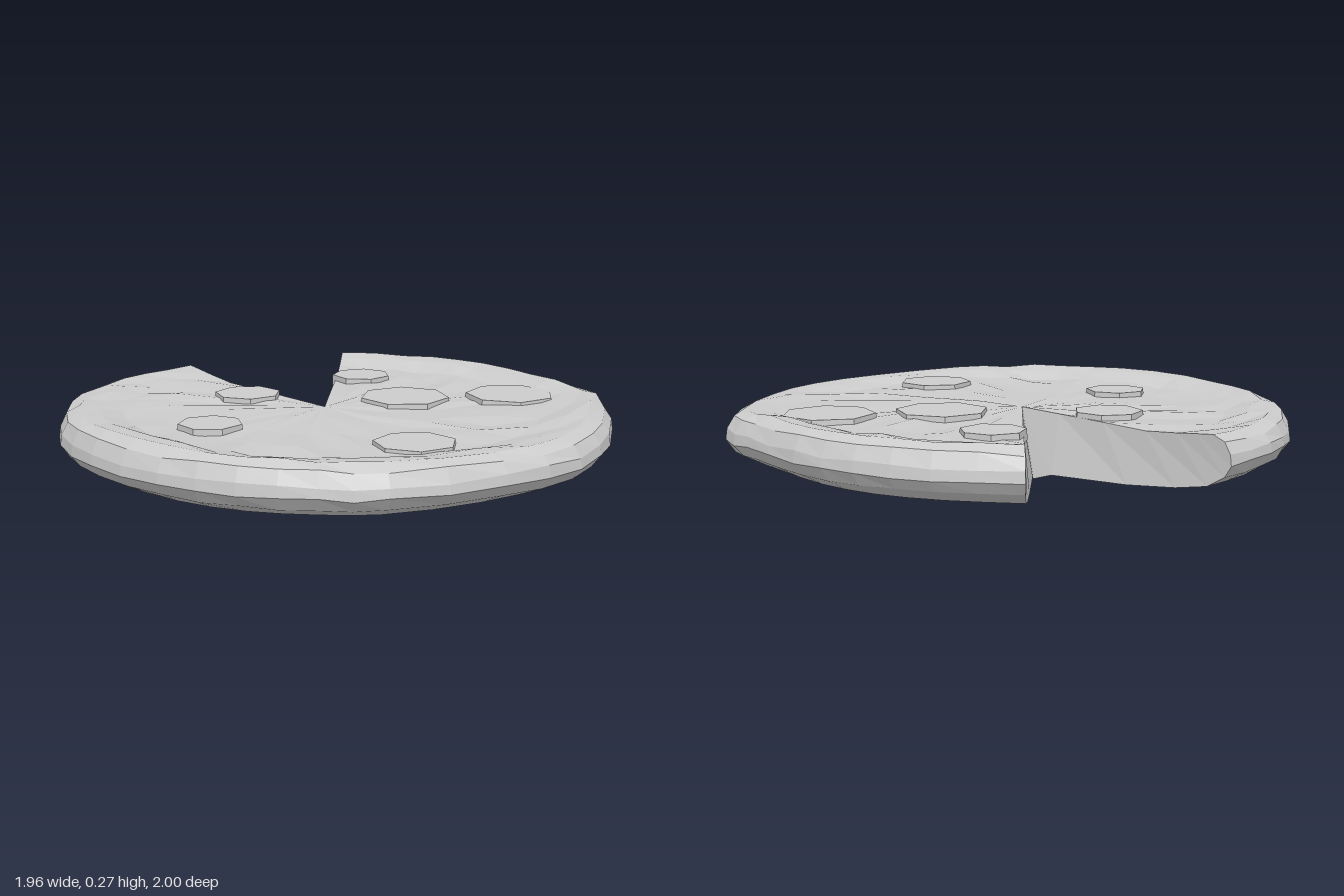
import * as THREE from 'three';

export function createModel() {
  const group = new THREE.Group();
  group.name = 'pizza';
  const material = new THREE.MeshStandardMaterial({ color: 0xcccccc, flatShading: true });

  let seed = 11;
  const jitter = (amount) => {
    seed = (seed * 16807) % 2147483647;
    return (seed / 2147483647 - 0.5) * 2 * amount;
  };

  // Outer rim seen from above, from one cut edge round to the other
  const rim = new THREE.CatmullRomCurve3([
    [0.235, -0.97], [-0.02, -1], [-0.3, -0.95], [-0.56, -0.81], [-0.8, -0.58],
    [-0.93, -0.3], [-0.98, 0.04], [-0.935, 0.32], [-0.82, 0.55], [-0.69, 0.72],
    [-0.34, 0.92], [0, 0.995], [0.35, 0.92], [0.75, 0.69], [0.83, 0.52],
    [0.945, 0.22], [0.975, -0.04], [0.93, -0.3], [0.82, -0.57],
  ].map(([x, z]) => new THREE.Vector3(x, 0, z))).getPoints(36);

  // Cross-section: [fraction of radius, height, crust weight, bumpiness]
  const profile = [
    [0, 0.238, 0, 0], [0.2, 0.236, 0, 0.004], [0.42, 0.235, 0, 0.006], [0.62, 0.236, 0, 0.008],
    [0.76, 0.233, 0.2, 0.008], [0.85, 0.246, 0.8, 0.007], [0.92, 0.25, 1, 0.005],
    [0.97, 0.234, 0.8, 0.006], [0.995, 0.2, 0.1, 0.006], [1, 0.165, 0, 0.006],
    [0.97, 0.125, 0, 0.003], [0.89, 0.085, 0, 0], [0.74, 0.062, 0, 0],
    [0.5, 0.042, 0, 0], [0.1, 0.027, 0, 0], [0, 0.002, 0, 0],
  ];
  const n = profile.length;
  const topTip = new THREE.Vector3(-0.025, 0, -0.03);
  const bottomTip = new THREE.Vector3(0.075, 0, -0.14);

  // Sweep the section round the tip; the underside converges inside the notch
  const positions = [];
  for (const edge of rim) {
    const side = Math.abs(edge.x) / edge.length();
    profile.forEach(([f, y, crust, bump], k) => {
      const tip = k < 10 ? topTip : bottomTip;
      const p = tip.clone().lerp(edge, f);
      positions.push(p.x, y + crust * 0.022 * side + jitter(bump), p.z);
    });
  }
  const index = [];
  for (let i = 0; i < rim.length - 1; i++) {
    for (let k = 0; k < n - 1; k++) {
      const a = i * n + k, b = a + n;
      if (k < n - 2) index.push(a, a + 1, b + 1);
      else index.push(a, a + 1, b);
      if (k > 0 && k < n - 2) index.push(a, b + 1, b);
    }
  }
  // Cut walls of the missing slice
  const last = (rim.length - 1) * n;
  for (let k = 0; k < n / 2 - 1; k++) {
    const m = n - 1 - k;
    index.push(k, m, m - 1, k, m - 1, k + 1);
    index.push(last + k, last + m - 1, last + m, last + k, last + k + 1, last + m - 1);
  }
  const geometry = new THREE.BufferGeometry();
  geometry.setAttribute('position', new THREE.Float32BufferAttribute(positions, 3));
  geometry.setIndex(index);
  geometry.computeVertexNormals();
  const base = new THREE.Mesh(geometry, material);
  base.name = 'crustAndCheese';
  group.add(base);

  // Seven-sided topping slices: x, z, radius, turn
  const toppings = new THREE.Group();
  toppings.name = 'toppings';
  for (const [x, z, r, turn] of [
    [-0.05, -0.37, 0.125, 0.1], [-0.51, -0.15, 0.115, 0.4], [0.49, -0.24, 0.115, 0.3],
    [0.25, 0.13, 0.168, 0.45], [0.52, 0.42, 0.168, 0.1], [-0.32, 0.56, 0.142, 0.05],
  ]) {
    const slice = new THREE.Mesh(new THREE.CylinderGeometry(r * 0.98, r, 0.04, 7), material);
    slice.name = 'toppingSlice';
    slice.position.set(x, 0.232, z);
    slice.rotation.y = turn;
    toppings.add(slice);
  }
  group.add(toppings);
  return group;
}
